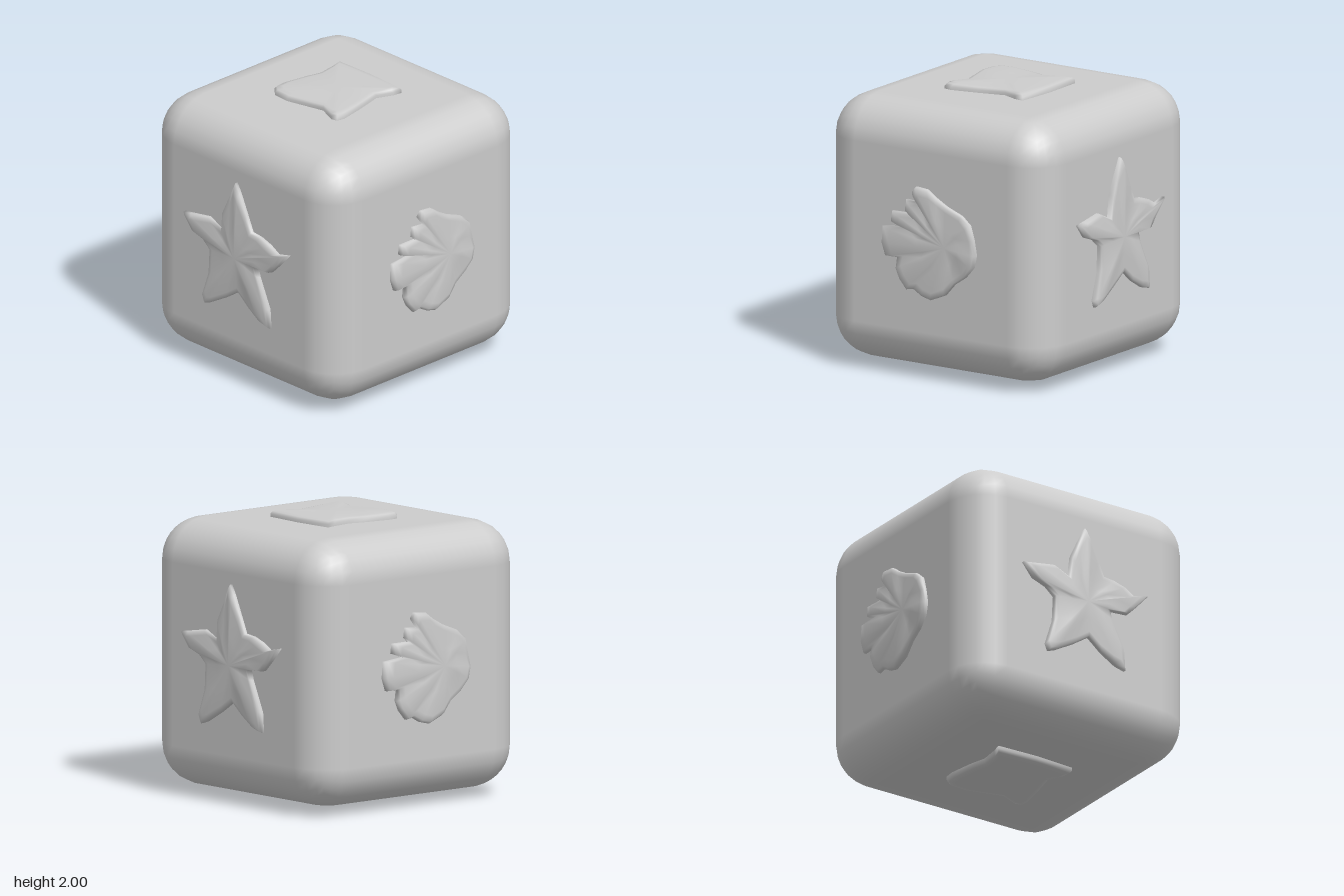
import * as THREE from 'three';
import { RoundedBoxGeometry } from 'three/addons/geometries/RoundedBoxGeometry.js';

const BASE = 0.94; // reliefs start just under the cube's faces

// Outlines run clockwise in face coordinates, centred on the face.
const starOutline = [
  [-0.01, 0.57], [0.03, 0.5], [0.10, 0.35], [0.15, 0.24], [0.24, 0.23], [0.33, 0.2], [0.41, 0.155],
  [0.52, 0.18], [0.42, 0.07], [0.35, 0], [0.20, -0.01], [0.22, -0.08], [0.32, -0.30],
  [0.33, -0.44], [0.25, -0.42], [0.13, -0.35], [0.02, -0.26], [-0.10, -0.34], [-0.26, -0.43],
  [-0.32, -0.45], [-0.34, -0.40], [-0.28, -0.21], [-0.27, -0.02], [-0.34, 0.04],
  [-0.45, 0.08], [-0.53, 0.18], [-0.46, 0.19], [-0.28, 0.22], [-0.15, 0.16],
  [-0.13, 0.32], [-0.07, 0.45],
];
const shellOutline = [
  [-0.11, 0.40], [-0.01, 0.39], [0.06, 0.34], [0.15, 0.29], [0.28, 0.24], [0.35, 0.18],
  [0.38, 0.08], [0.40, -0.03], [0.38, -0.12], [0.31, -0.20], [0.22, -0.26], [0.14, -0.35],
  [0.02, -0.40], [-0.06, -0.38], [-0.13, -0.34], [-0.19, -0.35], [-0.25, -0.28],
  [-0.28, -0.21], [-0.27, -0.13], [-0.37, -0.13], [-0.40, -0.04], [-0.39, 0.08],
  [-0.22, 0.095], [-0.32, 0.13], [-0.31, 0.20], [-0.17, 0.20], [-0.20, 0.23],
  [-0.19, 0.30], [-0.09, 0.29], [-0.14, 0.36],
];
const pillowOutline = [
  [-0.32, 0.35], [0, 0.36], [0.31, 0.34], [0.30, 0.27], [0.25, 0.15], [0.30, -0.05],
  [0.34, -0.25], [0.33, -0.31], [0.28, -0.32], [0.14, -0.26], [-0.15, -0.33],
  [-0.28, -0.32], [-0.33, -0.28], [-0.34, -0.20], [-0.31, 0], [-0.28, 0.12], [-0.30, 0.27],
];

// Puffy relief: outline rings shrink towards a centre, with creases at the notches.
function reliefGeometry(outline, [cx, cy], crease) {
  const pts = [...outline].reverse();
  const n = pts.length;
  const radius = pts.map(([x, y]) => Math.hypot(x - cx, y - cy));
  const notch = radius.map((r, i) => r < (radius[(i + n - 1) % n] + radius[(i + 1) % n]) / 2);
  // [scale, height, share of the crease]
  const rings = [[1, 0, 0], [1, 0.032, 0.2], [0.96, 0.05, 0.6], [0.86, 0.058, 1], [0.45, 0.06, 0.8]];
  const position = [];
  const index = [];
  rings.forEach(([s, h, c], k) => {
    pts.forEach(([x, y], i) => {
      position.push(cx + (x - cx) * s, cy + (y - cy) * s, BASE + h - (notch[i] ? crease * c : 0));
      const a = k * n + i;
      const b = k * n + (i + 1) % n;
      if (k < rings.length - 1) index.push(a, b, b + n, a, b + n, a + n);
      else index.push(a, b, rings.length * n);
    });
  });
  position.push(cx, cy, BASE + 0.06);
  const geometry = new THREE.BufferGeometry();
  geometry.setAttribute('position', new THREE.Float32BufferAttribute(position, 3));
  geometry.setIndex(index);
  geometry.computeVertexNormals();
  return geometry;
}

export function createModel() {
  const model = new THREE.Group();
  model.name = 'reliefCube';
  const grey = new THREE.MeshStandardMaterial({ color: 0xcccccc });
  grey.name = 'light grey';

  // Rounded cube body
  const body = new THREE.Mesh(new RoundedBoxGeometry(1.9, 1.9, 1.9, 3, 0.3), grey);
  body.name = 'cubeBody';
  body.position.y = 1;
  model.add(body);

  // One relief on each of two opposite faces
  function addPair(names, geometry, axis, angles) {
    angles.forEach((angle, i) => {
      const mesh = new THREE.Mesh(geometry, grey);
      mesh.name = names[i];
      mesh.position.y = 1;
      mesh.rotation[axis] = angle;
      model.add(mesh);
    });
  }
  const q = Math.PI / 2;
  addPair(['frontStar', 'backStar'], reliefGeometry(starOutline, [0, 0], 0.012), 'y', [0, 2 * q]);
  addPair(['leftShell', 'rightShell'], reliefGeometry(shellOutline, [0.15, 0], 0.014), 'y', [q, -q]);
  addPair(['topPillow', 'bottomPillow'], reliefGeometry(pillowOutline, [0, 0], 0.004), 'x', [-q, q]);
  return model;
}
